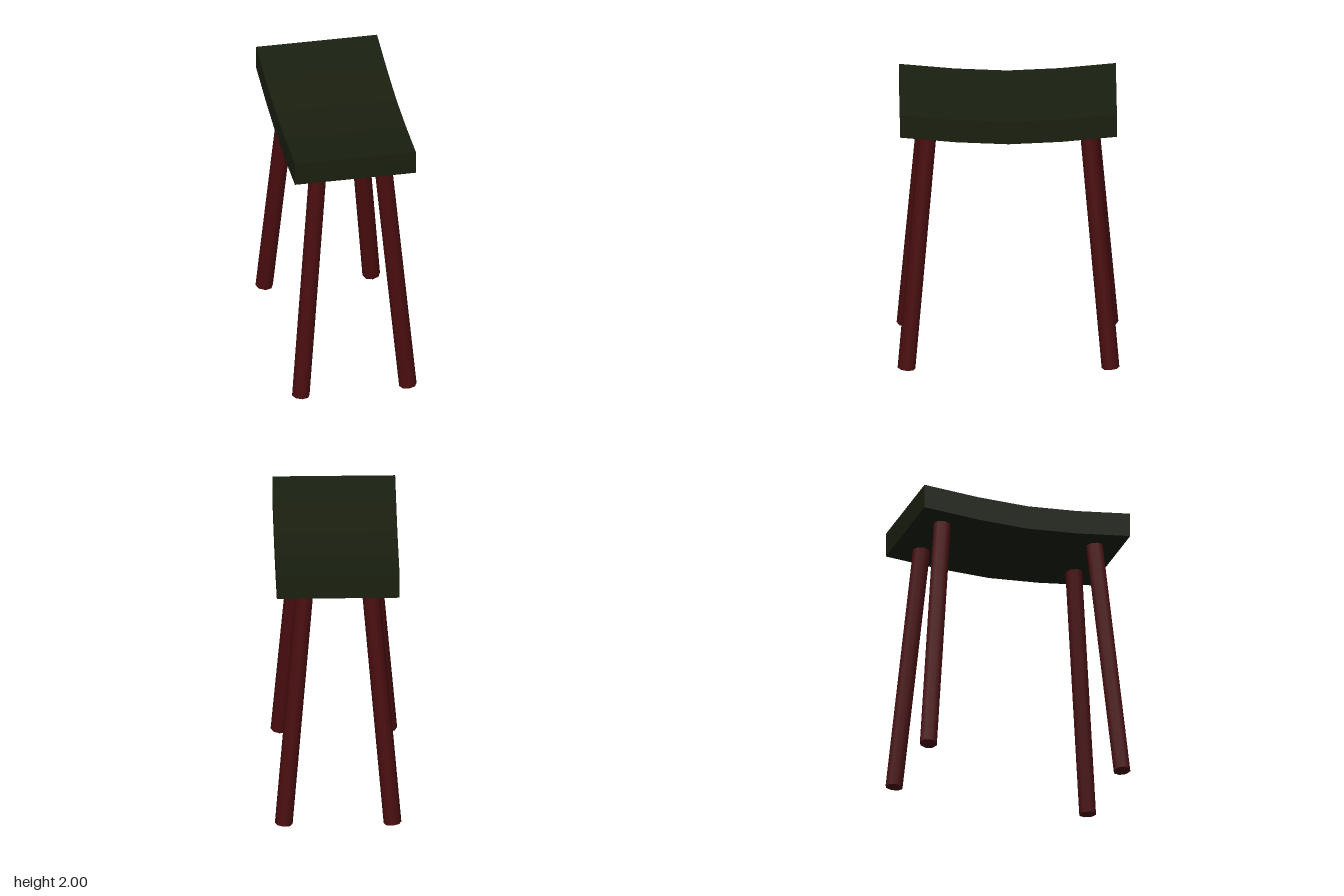
import * as THREE from 'three';

export function createModel() {
  const model = new THREE.Group();
  const seatMaterial = new THREE.MeshStandardMaterial({ color: 0x1a2010 });
  const legMaterial = new THREE.MeshStandardMaterial({ color: 0x4a0d0f });

  // Saddle seat: side profile dipping in the middle, extruded across the width
  const width = 0.87, thickness = 0.175;
  const top = [[-0.767, 2], [-0.37, 1.962], [0, 1.945], [0.37, 1.962], [0.767, 2]];
  const bottom = top.map(([z, y]) => [z, y - thickness]).reverse();
  const profile = new THREE.Shape([...top, ...bottom].map(([z, y]) => new THREE.Vector2(z, y)));
  const seatGeometry = new THREE.ExtrudeGeometry(profile, { depth: width, bevelEnabled: false });
  seatGeometry.translate(0, 0, -width / 2).rotateY(Math.PI / 2);
  const seat = new THREE.Mesh(seatGeometry, seatMaterial);
  seat.name = 'seat';
  model.add(seat);

  // Four splayed round legs, ending inside the seat
  const up = new THREE.Vector3(0, 1, 0);
  for (const [side, sx] of [['Left', 1], ['Right', -1]]) {
    for (const [end, sz] of [['front', 1], ['back', -1]]) {
      const foot = new THREE.Vector3(sx * 0.385, 0.008, sz * 0.722);
      const head = new THREE.Vector3(sx * 0.23, 1.84, sz * 0.565);
      const axis = head.clone().sub(foot);
      const leg = new THREE.Mesh(new THREE.CylinderGeometry(0.063, 0.063, axis.length(), 8), legMaterial);
      leg.position.copy(foot).add(head).multiplyScalar(0.5);
      leg.quaternion.setFromUnitVectors(up, axis.normalize());
      leg.name = `${end}${side}Leg`;
      model.add(leg);
    }
  }
  return model;
}
